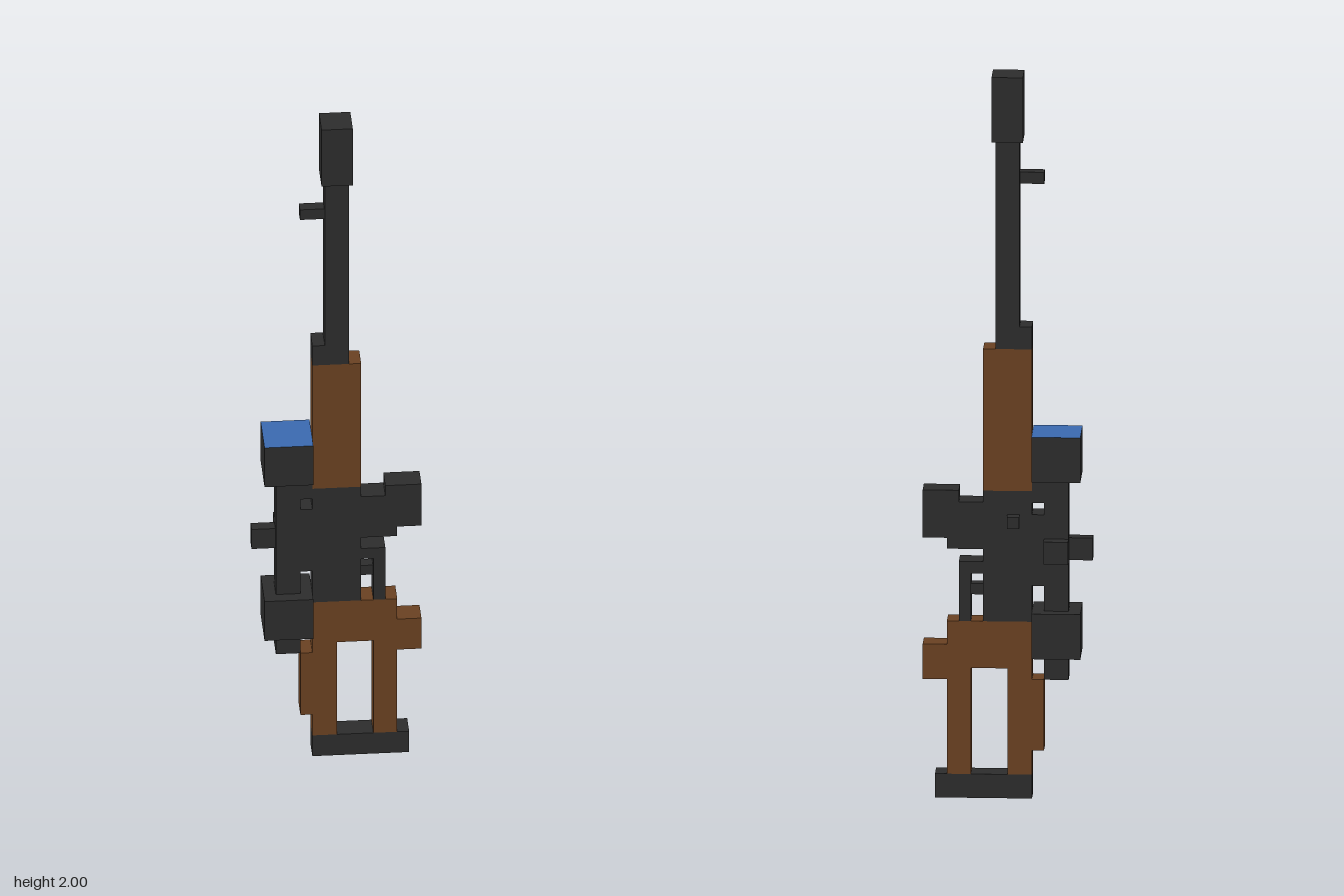
import * as THREE from 'three';

export function createModel() {
  const model = new THREE.Group();
  model.name = 'rifle';

  const mat = (name, color) => Object.assign(new THREE.MeshStandardMaterial({ color }), { name });
  const steel = mat('darkSteel', 0x2d2d2d);
  const wood = mat('brownWood', 0x6b4222);
  const glass = mat('blueGlass', 0x3b6bb2);

  const T = 0.0325; // half thickness of the main body

  // Box given by its limits on each axis
  function block(name, material, x0, x1, y0, y1, z0 = -T, z1 = T, parent = model) {
    const mesh = new THREE.Mesh(new THREE.BoxGeometry(x1 - x0, y1 - y0, z1 - z0), material);
    mesh.position.set((x0 + x1) / 2, (y0 + y1) / 2, (z0 + z1) / 2);
    mesh.name = name;
    parent.add(mesh);
    return mesh;
  }
  function group(name) {
    const g = new THREE.Group();
    g.name = name;
    model.add(g);
    return g;
  }

  // Barrel
  block('muzzle', steel, -0.042, 0.042, 1.82, 2, -0.042, 0.042);
  block('barrel', steel, -T, T, 1.245, 1.82);
  block('frontSight', steel, -0.098, -T, 1.70, 1.732, -0.016, 0.016);
  block('barrelCollar', steel, -0.066, -T, 1.245, 1.307);

  // Body
  block('forestock', wood, -0.066, 0.065, 0.852, 1.245);
  block('receiver', steel, -0.066, 0.065, 0.49, 0.852);
  block('boltKnob', steel, -0.033, 0, 0.755, 0.787, -0.065, -T);

  // Magazine
  const magazine = group('magazine');
  block('magazineNeck', steel, 0.065, 0.13, 0.69, 0.82, -T, T, magazine);
  block('magazineLip', steel, 0.13, 0.162, 0.69, 0.72, -T, T, magazine);
  block('magazineBox', steel, 0.13, 0.227, 0.72, 0.852, -T, T, magazine);

  // Trigger
  const trigger = group('triggerAssembly');
  block('guardTop', steel, 0.065, 0.13, 0.622, 0.655, -T, T, trigger);
  block('guardSide', steel, 0.098, 0.13, 0.49, 0.622, -T, T, trigger);
  block('trigger', steel, 0.065, 0.098, 0.56, 0.59, -0.016, 0.016, trigger);

  // Scope, with a glass face on its upper end
  const scope = group('scope');
  block('scopeTube', steel, -0.164, -0.098, 0.52, 0.885, -T, T, scope);
  block('scopeTail', steel, -0.164, -0.098, 0.33, 0.395, -T, T, scope);
  block('scopeObjective', [steel, steel, glass, steel, steel, steel],
    -0.197, -0.066, 0.885, 1.01, -0.065, 0.065, scope);
  block('scopeEyepiece', steel, -0.197, -0.066, 0.395, 0.52, -0.065, 0.065, scope);
  block('sideTurret', steel, -0.228, -0.164, 0.658, 0.72, -0.016, 0.016, scope);
  block('backTurret', steel, -0.164, -0.098, 0.658, 0.72, -0.065, -T, scope);
  block('upperMount', steel, -0.098, -0.066, 0.82, 0.885, -T, T, scope);
  block('lowerMount', steel, -0.098, -0.066, 0.59, 0.787, -T, T, scope);

  // Skeleton stock
  const stock = group('stock');
  block('stockBridge', wood, -0.066, 0.162, 0.36, 0.49, -T, T, stock);
  block('grip', wood, 0.162, 0.227, 0.328, 0.425, -T, T, stock);
  block('stockSpine', wood, -0.066, 0, 0.066, 0.36, -T, T, stock);
  block('stockStrut', wood, 0.098, 0.162, 0.066, 0.36, -T, T, stock);
  block('cheekRest', wood, -0.098, -0.066, 0.133, 0.33, -T, T, stock);
  block('buttPlate', steel, -0.066, 0.194, 0, 0.066, -T, T, stock);

  return model;
}
